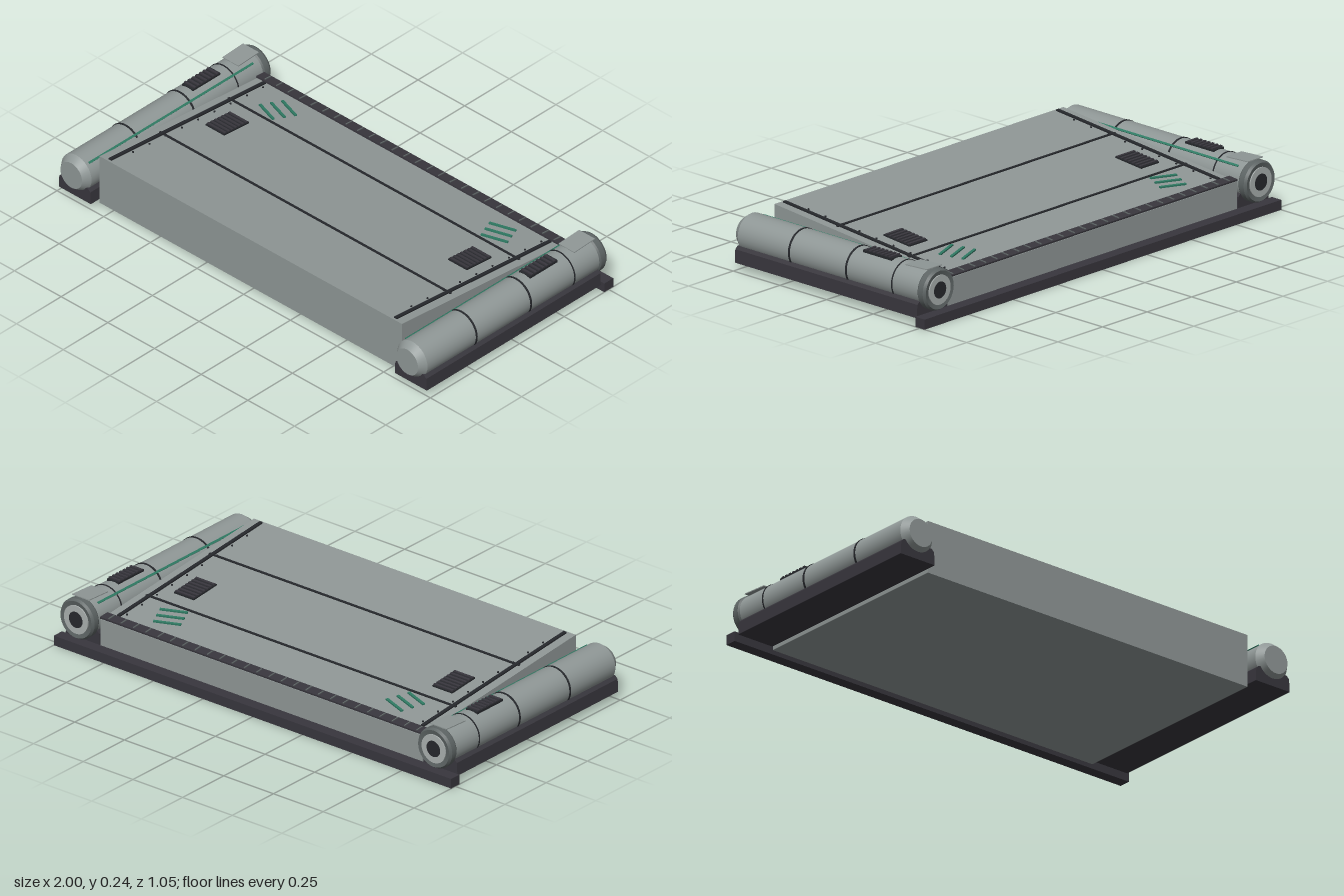
import * as THREE from 'three';
import { toCreasedNormals } from 'three/addons/utils/BufferGeometryUtils.js';

const mat = (name, color) => {
  const m = new THREE.MeshStandardMaterial({ color });
  m.name = name;
  return m;
};

export function createModel() {
  const hull = mat('hullGrey', 0x8f9796);
  const dark = mat('darkFrame', 0x38363d);
  const black = mat('panelLine', 0x26282c);
  const steel = mat('collarSteel', 0x5d6464);
  const pale = mat('nozzlePale', 0xa9afae);
  const green = mat('greenTrim', 0x2f7a63);

  const root = new THREE.Group();
  root.name = 'platform';

  const add = (parent, name, geo, m, x = 0, y = 0, z = 0) => {
    const mesh = new THREE.Mesh(geo, m);
    mesh.name = name;
    mesh.position.set(x, y, z);
    parent.add(mesh);
    return mesh;
  };
  const box = (parent, name, m, w, h, d, x, y, z) =>
    add(parent, name, new THREE.BoxGeometry(w, h, d), m, x, y, z);
  // Turned part along z from [radius, z] pairs
  const turned = (pts) => toCreasedNormals(
    new THREE.LatheGeometry(pts.map(([r, z]) => new THREE.Vector2(r, z)), 32).rotateX(Math.PI / 2), 0.4);
  // Extrusion of an (x, y) outline along z
  const prism = (pts, depth) => new THREE.ExtrudeGeometry(
    new THREE.Shape(pts.map(([x, y]) => new THREE.Vector2(x, y))), { depth, bevelEnabled: false });

  // Wedge body, lower at the back
  const zBack = -0.47, zFront = 0.46, yBack = 0.15, yFront = 0.237;
  const wedge = prism([[-zFront, 0.016], [-zBack, 0.016], [-zBack, yBack], [-zFront, yFront]], 1.62);
  wedge.rotateY(Math.PI / 2).translate(-0.81, 0, 0);
  add(root, 'wedgeBody', wedge, hull);

  // Rear cross bar
  box(root, 'rearBar', dark, 2, 0.041, 0.05, 0, 0.0205, -0.5);

  // Deck details lie in the plane of the sloping top
  const slope = (yFront - yBack) / (zFront - zBack);
  const deck = new THREE.Group();
  deck.name = 'deckDetails';
  deck.position.set(0, yBack - zBack * slope, 0);
  deck.rotation.x = -Math.atan(slope);
  root.add(deck);

  for (const z of [-0.23, 0.155]) box(deck, 'crossSeam', black, 1.56, 0.004, 0.01, 0, 0.002, z);

  // Ribbed strip along the back edge
  box(deck, 'rearStrip', dark, 1.63, 0.008, 0.045, 0, 0.003, -0.447);
  for (let i = 0; i < 26; i++)
    box(deck, 'rearStripRib', steel, 0.005, 0.004, 0.034, -0.775 + i * 0.062, 0.008, -0.447);

  for (const s of [-1, 1]) {
    box(deck, 'sideSeam', black, 0.015, 0.006, 0.87, s * 0.765, 0.003, 0.017);
    for (let i = 0; i < 9; i++)
      add(deck, 'rivet', new THREE.CylinderGeometry(0.004, 0.004, 0.005, 8), black, s * 0.745, 0.002, -0.39 + i * 0.0915);

    // Slatted deck vent
    box(deck, 'deckVent', black, 0.1, 0.006, 0.14, s * 0.65, 0.003, -0.088);
    for (let i = 0; i < 7; i++)
      box(deck, 'deckVentSlat', dark, 0.096, 0.006, 0.01, s * 0.65, 0.007, -0.148 + i * 0.02);

    // Three slanted stripes
    for (let i = 0; i < 3; i++) {
      const stripe = box(deck, 'slantedStripe', green, 0.115, 0.006, 0.011,
        s * (0.572 + i * 0.019), 0.003, -0.354 + i * 0.043);
      stripe.rotation.y = s * 0.34;
    }

    // Side rail with sloped shoulders
    const rail = prism([[-0.086, 0.03], [0.086, 0.03], [0.083, 0.084], [0.07, 0.096],
      [-0.07, 0.096], [-0.083, 0.084]], 0.975);
    add(root, 'sideRail', rail, dark, s * 0.9, 0, -0.47);

    // Cylinder pod above the rail
    const pod = new THREE.Group();
    pod.name = s > 0 ? 'leftPod' : 'rightPod';
    pod.position.set(s * 0.9, 0.135, 0);
    root.add(pod);
    add(pod, 'podBody', turned([[0, -0.475], [0.08, -0.475], [0.08, 0.495], [0.058, 0.525], [0, 0.525]]), hull);
    add(pod, 'podCollar', turned([[0.05, -0.505], [0.078, -0.511], [0.085, -0.5], [0.085, -0.475],
      [0.08, -0.468], [0.05, -0.468]]), steel);
    add(pod, 'nozzleRing', turned([[0.03, -0.512], [0.06, -0.512], [0.06, -0.47], [0.03, -0.47]]), pale);
    add(pod, 'nozzleCore', turned([[0, -0.513], [0.034, -0.513], [0.034, -0.47], [0, -0.47]]), black);

    for (const [z, w] of [[-0.33, 0.005], [-0.085, 0.008], [0.22, 0.008]])
      add(pod, 'podBand', turned([[0.078, z - w / 2], [0.0825, z - w / 2], [0.0825, z + w / 2], [0.078, z + w / 2]]), black);

    // Trim line on the inner shoulder
    const a = 0.7;
    const trim = box(pod, 'podTrim', green, 0.009, 0.005, 0.92,
      -s * 0.0805 * Math.sin(a), 0.0805 * Math.cos(a), 0.02);
    trim.rotation.z = s * a;

    // Vent on top of the pod
    box(pod, 'podVent', black, 0.058, 0.012, 0.155, s * 0.003, 0.077, -0.207);
    for (let i = 0; i < 7; i++)
      box(pod, 'podVentSlat', dark, 0.056, 0.006, 0.01, s * 0.003, 0.085, -0.27 + i * 0.021);

    // Thin tilted flap ahead of the collar
    const flap = box(pod, 'podFlap', hull, 0.085, 0.004, 0.115, 0, 0.083, -0.425);
    flap.rotation.x = 0.05;
  }
  return root;
}
